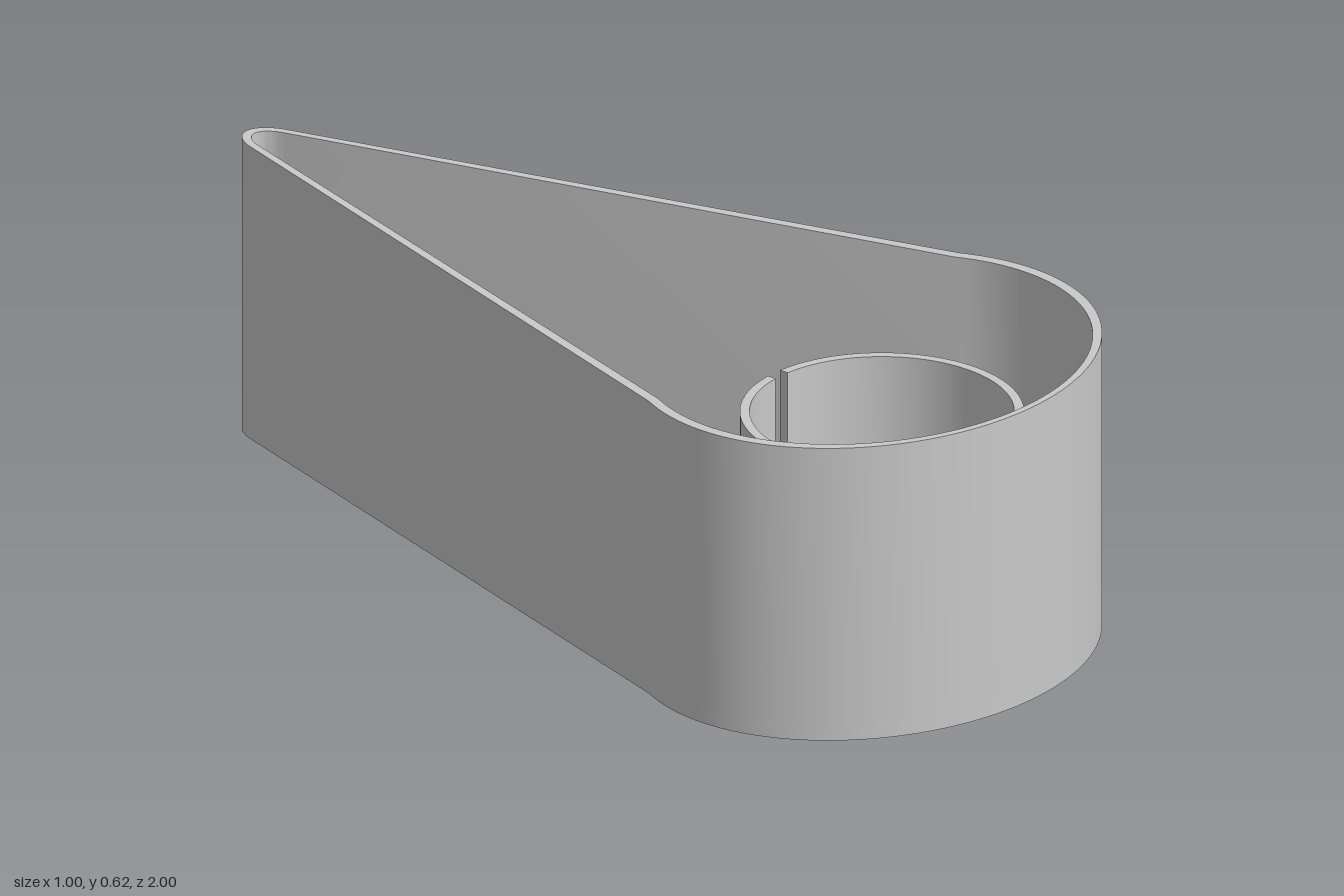
import * as THREE from 'three';
import { toCreasedNormals } from 'three/addons/utils/BufferGeometryUtils.js';

const HEIGHT = 0.62, FLOOR = 0.03;
const TUBE_Z = 0.618, TUBE_IN = 0.256, TUBE_OUT = 0.275;
const TUBE_TOP = 0.5, SLOT_BOTTOM = 0.13, SLOT_WIDTH = 0.036;

// Elliptical arc as plan points (x, z)
function arc(cz, rx, rz, from, to, steps) {
  return Array.from({ length: steps + 1 }, (_, i) => {
    const t = from + (to - from) * i / steps;
    return new THREE.Vector2(rx * Math.cos(t), cz + rz * Math.sin(t));
  });
}

// Teardrop: broad rounded front joined by straight sides to a narrow rear tip
function teardrop(frontX, frontZ, tipX, tipZ) {
  const a = -0.391;
  const b = Math.atan(0.297 * tipZ / tipX); // where the tip meets the sides smoothly
  return [
    ...arc(0.58, frontX, frontZ, a, Math.PI - a, 80),
    ...arc(-0.9, tipX, tipZ, Math.PI + b, 2 * Math.PI - b, 48),
  ];
}

// Raise a plan outline, with optional hole, from y0 to y1
function prism(name, outline, hole, y0, y1, material) {
  const flip = (pts) => pts.map((p) => new THREE.Vector2(p.x, -p.y));
  const shape = new THREE.Shape(flip(outline));
  if (hole) shape.holes.push(new THREE.Path(flip(hole).reverse()));
  const geo = new THREE.ExtrudeGeometry(shape, { depth: y1 - y0, bevelEnabled: false });
  geo.rotateX(-Math.PI / 2).translate(0, y0, 0);
  const mesh = new THREE.Mesh(toCreasedNormals(geo, 0.15), material);
  mesh.name = name;
  return mesh;
}

export function createModel() {
  const group = new THREE.Group();
  group.name = 'teardropTray';
  const grey = new THREE.MeshStandardMaterial({ color: 0xc9c9c9 });
  grey.name = 'grey';

  const outer = teardrop(0.498, 0.42, 0.06, 0.1);
  const inner = teardrop(0.475, 0.406, 0.044, 0.08);
  const circle = (r) => arc(TUBE_Z, r, r, 0, 2 * Math.PI, 80).slice(0, -1);

  // Outer wall and pierced floor
  group.add(prism('outerWall', outer, inner, FLOOR, HEIGHT, grey));
  group.add(prism('floor', outer, circle(TUBE_IN), 0, FLOOR, grey));

  // Solid foot of the tube
  group.add(prism('tubeBase', circle(TUBE_OUT), circle(TUBE_IN), FLOOR, SLOT_BOTTOM, grey));

  // Two half shells, leaving slots at the front and rear
  for (const [name, mid] of [['tubeLeftHalf', 0], ['tubeRightHalf', Math.PI]]) {
    const half = (r) => {
      const s = Math.PI / 2 - Math.asin(SLOT_WIDTH / 2 / r);
      return arc(TUBE_Z, r, r, mid - s, mid + s, 40);
    };
    const outline = [...half(TUBE_OUT), ...half(TUBE_IN).reverse()];
    group.add(prism(name, outline, null, SLOT_BOTTOM, TUBE_TOP, grey));
  }
  return group;
}
